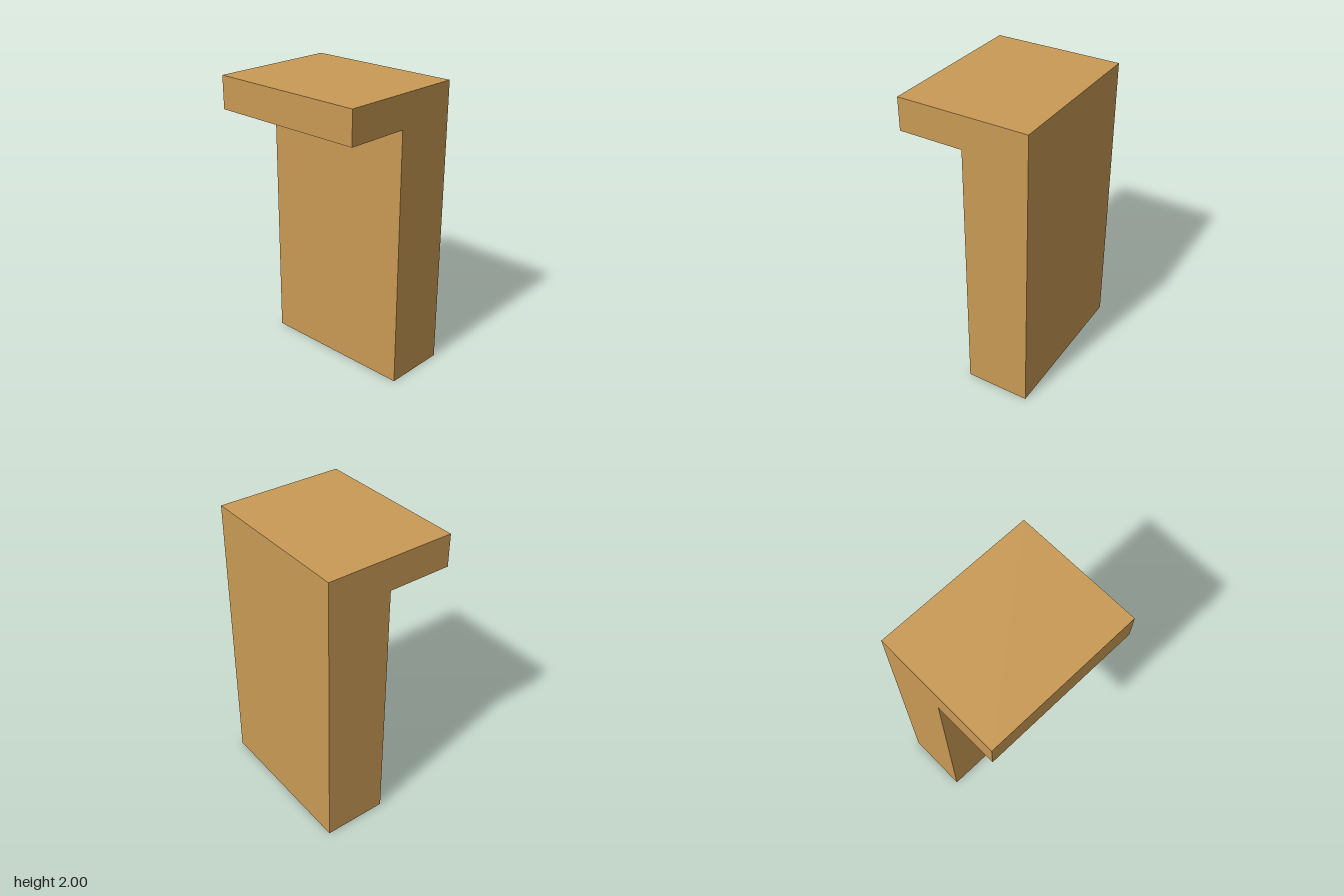
import * as THREE from 'three';

const WIDTH = 1.111, HEIGHT = 2, HALF_DEPTH = 0.444, LEDGE = 0.222;

export function createModel() {
  const model = new THREE.Group();
  const material = new THREE.MeshStandardMaterial({ color: 0xc99a55, flatShading: true });

  // Side profile (z, y): an upright slab with a ledge overhanging the front
  const profile = new THREE.Shape([
    [-HALF_DEPTH, 0], [0, 0], [0, HEIGHT - LEDGE],
    [HALF_DEPTH, HEIGHT - LEDGE], [HALF_DEPTH, HEIGHT], [-HALF_DEPTH, HEIGHT],
  ].map(([z, y]) => new THREE.Vector2(z, y)));

  // Extrude across the width, then turn the profile so the ledge faces +z
  const geometry = new THREE.ExtrudeGeometry(profile, { depth: WIDTH, bevelEnabled: false });
  geometry.translate(0, 0, -WIDTH / 2).rotateY(-Math.PI / 2);

  const block = new THREE.Mesh(geometry, material);
  block.name = 'uprightWithLedge';
  model.add(block);
  return model;
}
